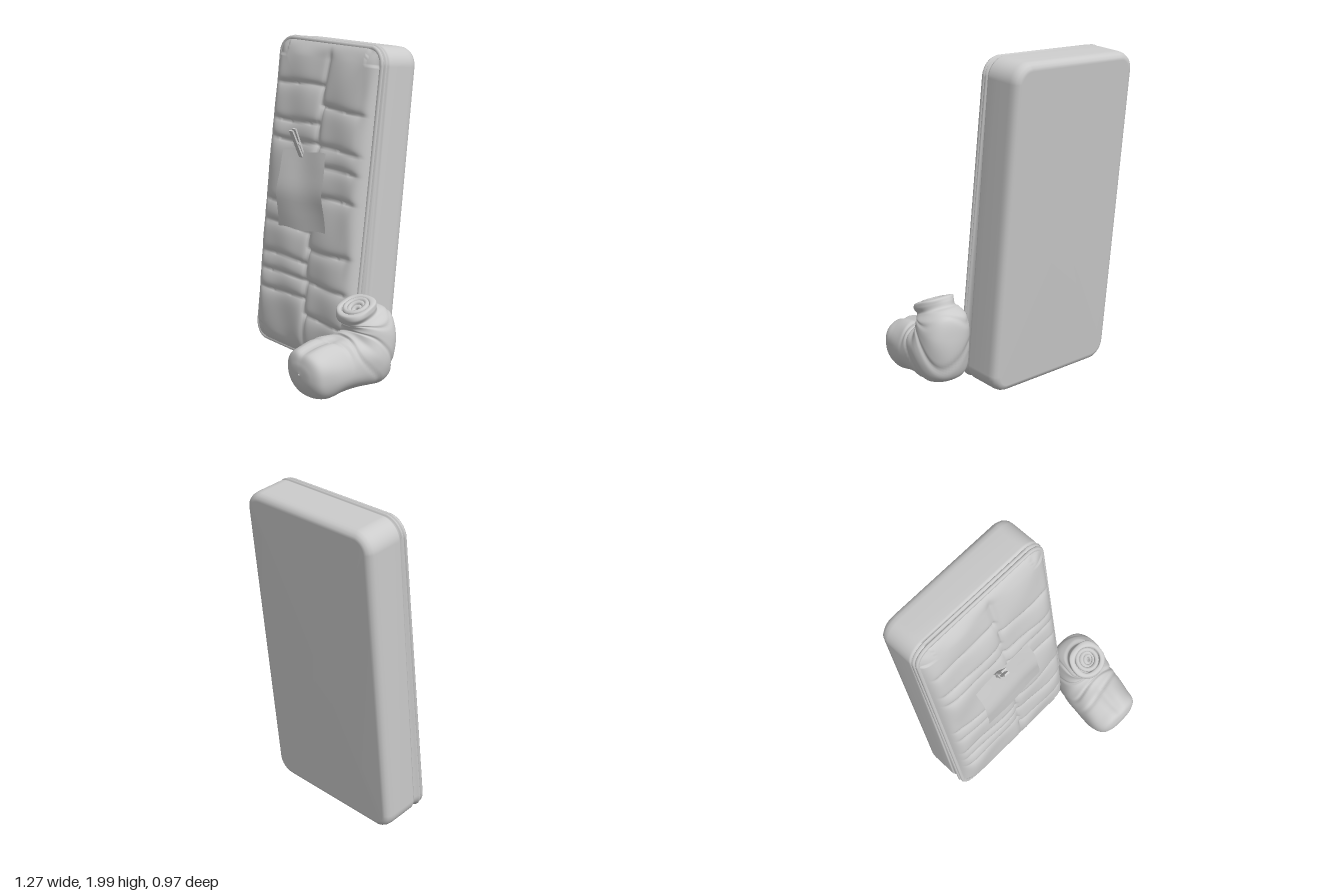
import * as THREE from 'three';
import { ParametricGeometry } from 'three/addons/geometries/ParametricGeometry.js';
import { mergeVertices } from 'three/addons/utils/BufferGeometryUtils.js';

const material = new THREE.MeshStandardMaterial({ color: 0xcccccc, roughness: 0.9 });
const thin = new THREE.MeshStandardMaterial({ color: 0xcccccc, roughness: 0.9, side: THREE.DoubleSide });
const W = 0.96, L = 1.975, R = 0.115;

function add(parent, name, geometry, mat = material) {
  const mesh = new THREE.Mesh(geometry, mat);
  mesh.name = name;
  parent.add(mesh);
  return mesh;
}

// Smooth surface from a rule (u, v) -> point, welded so closed rings have no seam
function surface(rule, nu, nv) {
  const g = new ParametricGeometry(rule, nu, nv);
  g.deleteAttribute('uv');
  g.deleteAttribute('normal');
  const welded = mergeVertices(g, 1e-5);
  welded.computeVertexNormals();
  return welded;
}

// Front rim is a little thicker towards the foot of the mattress
const rimExtra = (y) => 0.035 * (1 - y / L);

// Rounded-rectangle rings, each [inset, depth, scale], stacked from back to front
function mattressShell() {
  const rings = [
    [0.045, 0, 0], [0.045, 0, 1], [0.028, 0.004, 1], [0.012, 0.016, 1], [0.003, 0.035, 1], [0, 0.06, 1],
    [0, 0.15, 1], [0, 0.225, 1], [0.004, 0.235, 1], [0.018, 0.24, 1], [0.006, 0.244, 1], [-0.003, 0.251, 1],
    [0.004, 0.259, 1], [0.018, 0.262, 1], [0.007, 0.266, 1], [0.002, 0.275, 1], [0.007, 0.284, 1],
    [0.02, 0.286, 1], [0.03, 0.28, 1],
  ];
  const n = 12;
  return surface((u, v, p) => {
    const k = Math.round(u * 4 * n) % (4 * n);
    const corner = Math.floor(k / n);
    const a = (corner + (k % n) / (n - 1)) * Math.PI / 2;
    const [inset, depth, s] = rings[Math.round(v * (rings.length - 1))];
    const sx = corner === 0 || corner === 3 ? 1 : -1;
    const sy = corner < 2 ? 1 : -1;
    const x = sx * (W / 2 - R) + (R - inset) * Math.cos(a);
    const y = sy * (L / 2 - R) + (R - inset) * Math.sin(a);
    const z = depth + (depth > 0.24 ? rimExtra(y + L / 2) : 0);
    p.set(x * s, y * s + L / 2, z);
  }, 4 * n, rings.length - 1);
}

// Quilted front: a dome with brick-like stitched seams in two columns
const leftSeams = [1.69, 1.46, 1.34, 0.93, 0.8, 0.6, 0.49, 0.37];
const rightSeams = [1.57, 1.33, 1.21, 1.03, 0.7, 0.49, 0.27];
const columnX = 0.04;

function cushionDepth(x, y) {
  const edge = Math.max(0, Math.min(W / 2 - 0.018 - Math.abs(x), y - 0.018, L - 0.018 - y));
  const rise = 1 - Math.exp(-edge / 0.035);
  const t = Math.abs(y / L * 2 - 1);
  let h = 0.282 + rimExtra(y) + rise * (0.025 + 0.05 * (1 - t ** 3));
  const seams = x < columnX ? leftSeams : rightSeams;
  const fade = THREE.MathUtils.smoothstep(edge, 0.01, 0.1);
  for (const s of seams) {
    const d = y - s - 0.008 * Math.sin(9 * x + 5 * s);
    h -= fade * (d > 0 ? 0.026 * Math.exp(-d / 0.016) : 0.02 * Math.exp(d / 0.035));
  }
  h -= fade * 0.02 * Math.exp(-Math.abs(x - columnX) / 0.018);
  h += fade * 0.004 * (Math.sin(17 * x + 6 * y) + Math.sin(13 * y - 11 * x));
  return h;
}

function quiltedFront() {
  const hw = W / 2 - 0.018, hl = L / 2 - 0.018, r = R - 0.018;
  return surface((u, v, p) => {
    // extra rows near both ends follow the round corners
    const t = v * 2 - 1;
    const y = hl * Math.sin(t * Math.PI / 2) * 0.3 + hl * t * 0.7;
    const over = Math.max(0, Math.abs(y) - (hl - r));
    const half = hw - r + Math.sqrt(Math.max(0, r * r - over * over));
    const s = u * 2 - 1;
    const x = half * (0.7 * s + 0.3 * Math.sin(s * Math.PI / 2));
    // the corner arc is also an edge where the padding falls away
    const cx = Math.max(0, Math.abs(x) - (hw - r));
    const toArc = cx > 0 && over > 0 ? r - Math.hypot(cx, over) : 1;
    const base = 0.282 + rimExtra(y + L / 2);
    const k = 1 - Math.exp(-Math.max(0, toArc) / 0.035);
    p.set(x, y + L / 2, base + (cushionDepth(x, y + L / 2) - base) * k);
  }, 72, 180);
}

// Sheet of paper, bilinear between its four corners, bowed over the padding
function paperSheet() {
  const corners = [[-0.365, 0.845], [0.08, 0.88], [-0.385, 1.32], [0.03, 1.355]];
  const profile = new THREE.CatmullRomCurve3([[0, 0.03], [0.3, 0.032], [0.6, 0.03], [0.8, 0.002], [1, -0.03]]
    .map(([v, z]) => new THREE.Vector3(0, v, z)));
  return surface((u, v, p) => {
    const mix = (i) => THREE.MathUtils.lerp(
      THREE.MathUtils.lerp(corners[0][i], corners[1][i], u),
      THREE.MathUtils.lerp(corners[2][i], corners[3][i], u), v);
    const z = profile.getPoint(v).z + 0.006 * Math.sin(u * 5 + v * 3);
    p.set(mix(0) + 0.004 * Math.sin(v * 11), mix(1) + 0.005 * Math.sin(u * 9), z);
  }, 14, 14);
}

// Padded glove: sections from fist tip to inside the cuff
// [lower z, lower y, upper z, upper y, centre x, half width]
function padedSections() {
  return [
    [0.487, 0.2, 0.488, 0.21, 0.4, 0.005], [0.475, 0.13, 0.484, 0.27, 0.4, 0.09],
    [0.43, 0.06, 0.46, 0.33, 0.4, 0.148], [0.36, 0.038, 0.39, 0.355, 0.4, 0.17],
    [0.26, 0.05, 0.3, 0.37, 0.41, 0.18], [0.14, 0.06, 0.23, 0.375, 0.425, 0.183],
    [0.0, 0.06, 0.19, 0.385, 0.445, 0.183], [-0.08, 0.1, 0.17, 0.395, 0.455, 0.175],
    [-0.12, 0.22, 0.16, 0.41, 0.46, 0.165], [-0.135, 0.36, 0.16, 0.425, 0.46, 0.158],
    [-0.115, 0.48, 0.17, 0.44, 0.455, 0.142], [-0.06, 0.525, 0.185, 0.45, 0.45, 0.118],
    [-0.025, 0.535, 0.195, 0.455, 0.448, 0.108], [-0.01, 0.565, 0.208, 0.48, 0.448, 0.118],
    [0.0, 0.585, 0.205, 0.508, 0.448, 0.115], [0.03, 0.58, 0.18, 0.515, 0.448, 0.088],
    [0.035, 0.53, 0.165, 0.48, 0.448, 0.08], [0.035, 0.47, 0.15, 0.43, 0.448, 0.07],
    [0.09, 0.45, 0.091, 0.45, 0.448, 0.002],
  ];
}

function gloveBody() {
  const rows = padedSections();
  const curve = (f) => new THREE.CatmullRomCurve3(rows.map((r) => new THREE.Vector3(...f(r))));
  const low = curve((r) => [r[4], r[1], r[0]]);
  const high = curve((r) => [r[5], r[3], r[2]]);
  const c = new THREE.Vector3(), e = new THREE.Vector3();
  return surface((u, v, p) => {
    const a = (u % 1) * Math.PI * 2;
    const b = low.getPoint(v), t = high.getPoint(v);
    const x = b.x, hw = t.x;
    c.set(x, (b.y + t.y) / 2, (b.z + t.z) / 2);
    e.set(0, (t.y - b.y) / 2, (t.z - b.z) / 2);
    const row = v * (rows.length - 1);
    const bump = (at, w) => Math.exp(-(((row - at) / w) ** 2));
    // groove between the two finger pads, cross seams and wrist creases
    const top = Math.max(0, Math.cos(a));
    const pads = bump(3.2, 1.8);
    let k = 1 - 0.16 * pads * Math.exp(-((Math.sin(a) / 0.16) ** 2)) * top;
    k -= 0.06 * bump(4.3 + 0.3 * Math.sin(2 * a), 0.16) * top;
    k -= 0.07 * bump(5.5 + 0.35 * Math.cos(3 * a), 0.18) * (0.4 + 0.6 * top);
    k -= 0.05 * bump(8 + 0.5 * Math.sin(a * 2), 0.2) + 0.04 * bump(10 + 0.4 * Math.sin(a * 3), 0.18);
    const body = THREE.MathUtils.smoothstep(row, 1, 3);
    k += body * 0.012 * (Math.sin(3 * a + row * 2.3) + Math.sin(5 * a - row * 1.7));
    // slightly squared cross-section
    const sq = (q) => Math.sign(q) * Math.abs(q) ** 0.88;
    p.copy(c).addScaledVector(e, k * sq(Math.cos(a)));
    p.x += hw * k * sq(Math.sin(a));
  }, 56, 150);
}

export function createModel() {
  const model = new THREE.Group();
  model.name = 'mattressWithGlove';

  // Mattress, leaning backwards
  const mattress = new THREE.Group();
  mattress.name = 'mattress';
  add(mattress, 'mattressShell', mattressShell());
  add(mattress, 'quiltedFront', quiltedFront(), thin);
  mattress.position.set(-0.15, 0.01, -0.29);
  mattress.rotation.x = -0.1;
  model.add(mattress);

  add(model, 'paperSheet', paperSheet(), thin);

  // Clothes peg: two tilted arms and a wire spring
  const peg = new THREE.Group();
  peg.name = 'clothesPeg';
  for (const side of [-1, 1]) {
    const arm = add(peg, 'pegArm', new THREE.BoxGeometry(0.034, 0.195, 0.011));
    arm.position.z = side * 0.009;
    arm.rotation.x = side * 0.035;
  }
  const spring = add(peg, 'pegSpring', new THREE.CylinderGeometry(0.009, 0.009, 0.05, 12));
  spring.rotation.z = Math.PI / 2;
  const wire = add(peg, 'pegWire', new THREE.TorusGeometry(0.017, 0.003, 6, 16));
  wire.rotation.y = Math.PI / 2;
  wire.position.x = -0.022;
  peg.position.set(-0.212, 1.385, -0.002);
  peg.rotation.x = 0.39;
  model.add(peg);

  // Glove with crumpled lining in its cuff
  const glove = new THREE.Group();
  glove.name = 'glove';
  add(glove, 'gloveBody', gloveBody(), thin);
  for (let i = 0; i < 3; i++) {
    const fold = add(glove, 'cuffLining', new THREE.TorusGeometry(0.066 - i * 0.02, 0.016, 8, 24));
    fold.position.set(0.448 + 0.006 * i, 0.54 - i * 0.012, 0.1);
    fold.rotation.set(-Math.PI / 2 + 0.36 + 0.15 * i, 0.12 * i, 0);
  }
  model.add(glove);
  return model;
}
